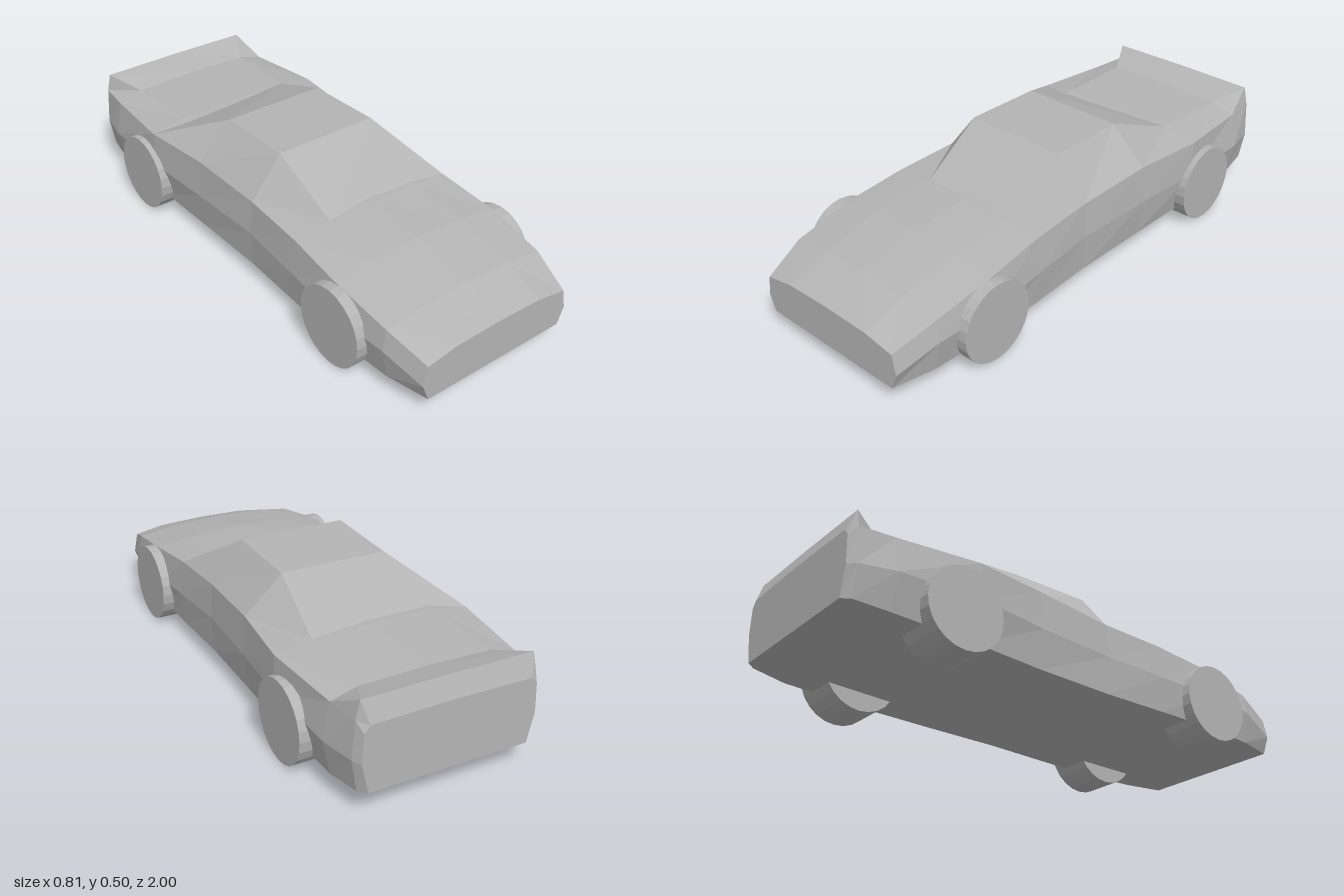
import * as THREE from 'three';

const paint = new THREE.MeshStandardMaterial({ color: 0xb4b4b4, flatShading: true });
paint.name = 'grey';

// Mesh from polygons (each a list of [x, y, z] corners, counter-clockwise from outside)
function polyMesh(name, polygons) {
  const pos = [];
  for (const p of polygons)
    for (let i = 1; i < p.length - 1; i++) pos.push(...p[0], ...p[i], ...p[i + 1]);
  const geo = new THREE.BufferGeometry();
  geo.setAttribute('position', new THREE.Float32BufferAttribute(pos, 3));
  geo.computeVertexNormals();
  const mesh = new THREE.Mesh(geo, paint);
  mesh.name = name;
  return mesh;
}

// Lower body: mirrored half sections, front to back
function createBody() {
  // z, then [x, y] of sill, belt, shoulder, top quarter, and centre height
  const sections = [
    [1.0, [0.30, 0.065], [0.325, 0.13], [0.31, 0.207], [0.19, 0.228], 0.233],
    [0.84, [0.335, 0.065], [0.36, 0.185], [0.345, 0.265], [0.19, 0.284], 0.29],
    [0.6, [0.35, 0.065], [0.375, 0.19], [0.357, 0.307], [0.2, 0.327], 0.337],
    [0.36, [0.345, 0.065], [0.36, 0.2], [0.345, 0.335], [0.2, 0.348], 0.355],
    [0.09, [0.335, 0.065], [0.345, 0.21], [0.335, 0.345], [0.2, 0.355], 0.36],
    [-0.23, [0.34, 0.065], [0.36, 0.212], [0.35, 0.36], [0.22, 0.368], 0.37],
    [-0.52, [0.35, 0.07], [0.385, 0.22], [0.38, 0.357], [0.24, 0.38], 0.385],
    [-0.84, [0.345, 0.077], [0.375, 0.21], [0.35, 0.345], [0.25, 0.372], 0.378],
    [-0.97, [0.325, 0.088], [0.345, 0.205], [0.335, 0.345], [0.32, 0.412], 0.415],
    [-1.0, [0.30, 0.09], [0.325, 0.2], [0.32, 0.31], [0.30, 0.335], 0.34],
  ];
  const rings = sections.map(([z, ...rest]) => {
    const half = rest.slice(0, 4);
    return [
      ...half.map(([x, y]) => [x, y, z]),
      [0, rest[4], z],
      ...half.slice().reverse().map(([x, y]) => [-x, y, z]),
    ];
  });
  const faces = [rings[0], rings[rings.length - 1].slice().reverse()];
  for (let i = 0; i < rings.length - 1; i++) {
    const a = rings[i], b = rings[i + 1];
    for (let j = 0; j < a.length; j++) {
      const k = (j + 1) % a.length;
      faces.push([a[j], b[j], b[k], a[k]]);
    }
  }
  return polyMesh('body', faces);
}

// Cabin with uneven pillars: the windscreen and rear pane are cut in on opposite sides
function createCabin() {
  const left = [[0.345, 0.335, 0.355], [0.335, 0.345, 0.09], [0.35, 0.36, -0.23], [0.24, 0.38, -0.52]];
  const right = [[-0.19, 0.347, 0.355], [-0.335, 0.345, 0.09], [-0.35, 0.36, -0.23], [-0.38, 0.357, -0.52]];
  const roofL = [[0.21, 0.502, 0.09], [0.205, 0.495, -0.23]];
  const roofR = [[-0.21, 0.502, 0.09], [-0.21, 0.495, -0.23]];
  const side = (base, roof) => [
    [base[0], base[1], roof[0]],
    [base[1], base[2], roof[1], roof[0]],
    [base[2], base[3], roof[1]],
  ];
  return polyMesh('cabin', [
    [right[0], left[0], roofL[0], roofR[0]],
    [roofR[0], roofL[0], roofL[1], roofR[1]],
    [roofR[1], roofL[1], left[3], right[3]],
    ...side(left, roofL),
    ...side(right, roofR).map((f) => f.reverse()),
  ]);
}

export function createModel() {
  const car = new THREE.Group();
  car.name = 'car';
  car.add(createBody(), createCabin());

  // Wheels
  for (const [label, z, outer] of [['front', 0.61, 0.397], ['rear', -0.595, 0.405]]) {
    for (const s of [1, -1]) {
      const width = outer - 0.232;
      const geo = new THREE.CylinderGeometry(0.152, 0.152, width, 24);
      geo.rotateZ(Math.PI / 2);
      const wheel = new THREE.Mesh(geo, paint);
      wheel.name = label + (s > 0 ? 'Left' : 'Right') + 'Wheel';
      wheel.position.set(s * (outer - width / 2), 0.152, z);
      car.add(wheel);
    }
  }
  return car;
}
